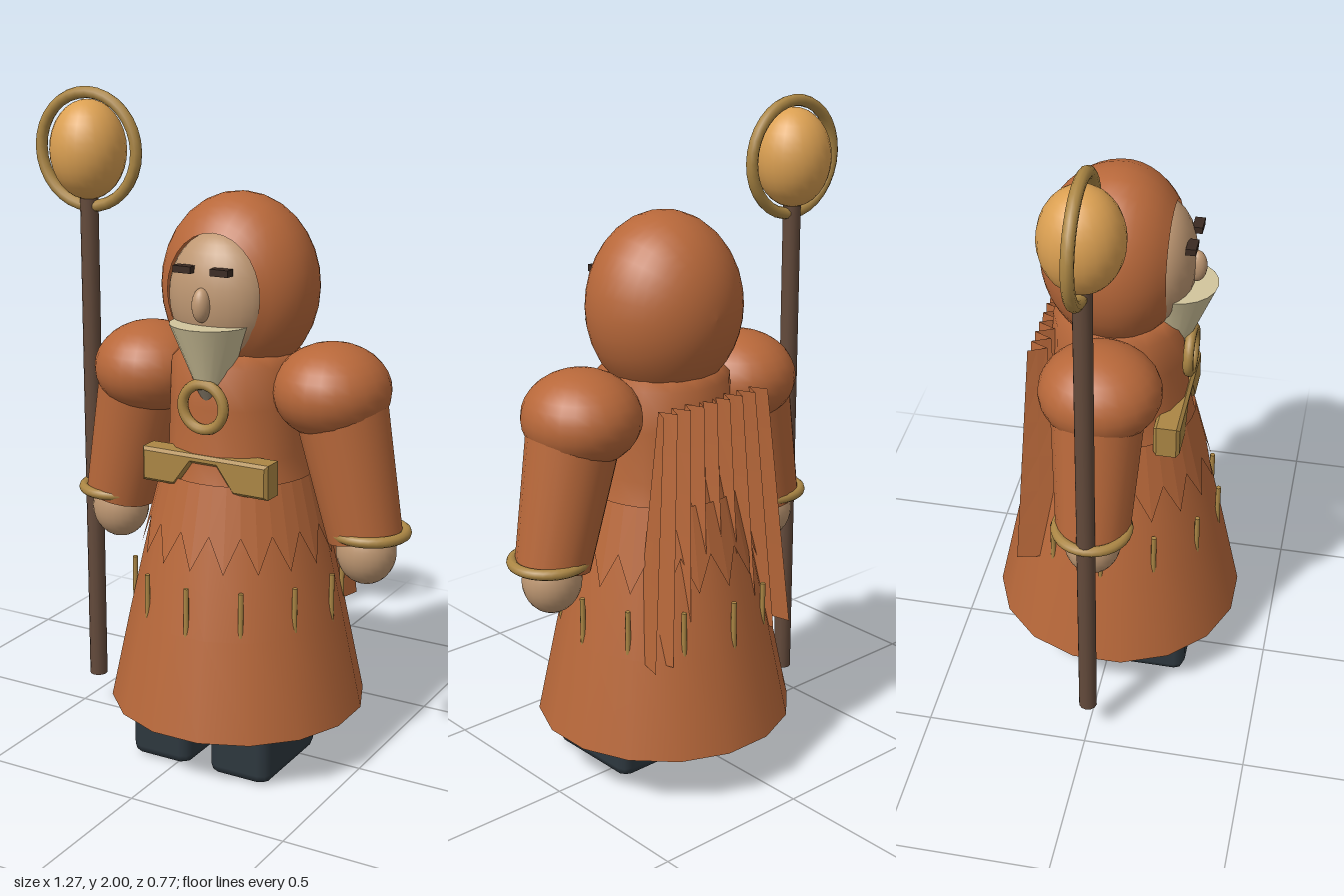
import * as THREE from 'three';
import { RoundedBoxGeometry } from 'three/addons/geometries/RoundedBoxGeometry.js';

function mat(name, color, extra = {}) {
  const m = new THREE.MeshStandardMaterial({ color, ...extra });
  m.name = name;
  return m;
}

export function createModel() {
  const cloth = mat('rust cloth', 0xb8683a, { side: THREE.DoubleSide });
  const foldCloth = mat('folded rust cloth', 0xb8683a, { side: THREE.DoubleSide, flatShading: true });
  const skin = mat('skin', 0xbf9873);
  const cream = mat('beard cream', 0xd2c59c);
  const grey = mat('beard tip grey', 0x857a68);
  const gold = mat('gold', 0xab8644);
  const amber = mat('amber', 0xdba052);
  const wood = mat('dark wood', 0x634a3b);
  const boot = mat('boot slate', 0x2d373e);
  const dark = mat('eye brown', 0x3a2a22);

  const root = new THREE.Group();
  root.name = 'robedFigure';
  const body = new THREE.Group();
  body.name = 'body';
  body.position.x = 0.08;
  root.add(body);

  function add(name, geo, material, x = 0, y = 0, z = 0, parent = body) {
    const m = new THREE.Mesh(geo, material);
    m.name = name;
    m.position.set(x, y, z);
    parent.add(m);
    return m;
  }
  const ball = (rx, ry, rz) => new THREE.SphereGeometry(1, 24, 16).scale(rx, ry, rz);
  const ring = (r, t) => new THREE.TorusGeometry(r, t, 10, 32);
  const v2 = (x, y) => new THREE.Vector2(x, y);

  // Robe: sixteen-sided flare rising to the shoulders
  const robe = [[0.392, 0.165], [0.33, 0.46], [0.272, 0.72], [0.23, 0.88], [0.21, 0.97],
    [0.205, 1.12], [0.2, 1.24], [0.16, 1.28], [0, 1.29]].map(p => v2(...p));
  add('robe', new THREE.LatheGeometry(robe, 16, Math.PI / 16), cloth);
  add('robeUnderside', new THREE.CircleGeometry(0.39, 16, Math.PI / 16).rotateX(Math.PI / 2), cloth, 0, 0.17, 0);

  // Tunic hem: band whose lower edge alternates up and down
  const hem = new THREE.CylinderGeometry(0.232, 0.295, 0.25, 36, 1, true);
  const hp = hem.attributes.position;
  for (let i = 37; i < 74; i++) {
    if (i % 2 === 0) hp.setXYZ(i, hp.getX(i) * 0.91, hp.getY(i) + 0.105, hp.getZ(i) * 0.91);
  }
  hem.computeVertexNormals();
  add('jaggedHem', hem, foldCloth, 0, 0.78, 0);

  // Twelve gold pins around the skirt
  for (let i = 0; i < 12; i++) {
    const a = i * Math.PI / 6;
    add('skirtPin', new THREE.CylinderGeometry(0.008, 0.008, 0.165, 8), gold,
      0.316 * Math.sin(a), 0.527, 0.316 * Math.cos(a));
  }

  // Pleated cape: folds widen and deepen towards the bottom
  const cols = 32;
  const cape = new THREE.PlaneGeometry(2, 1, cols, 6);
  const cp = cape.attributes.position;
  for (let i = 0; i < cp.count; i++) {
    const u = cp.getX(i), t = 0.5 - cp.getY(i);
    const fold = Math.cos(u * Math.PI * 8);
    cp.setXYZ(i, u * (0.2 + 0.07 * t), 1.205 - 0.755 * t,
      -0.21 - fold * (0.027 + 0.04 * t));
  }
  cape.computeVertexNormals();
  add('cape', cape, foldCloth);

  // Arms, shoulders, cuffs, hands and boots, mirrored
  for (const s of [-1, 1]) {
    add('shoulder', ball(0.172, 0.14, 0.18), cloth, s * 0.305, 1.172, 0);
    const top = new THREE.Vector3(s * 0.32, 1.19, 0), end = new THREE.Vector3(s * 0.42, 0.75, 0);
    const mid = top.clone().add(end).multiplyScalar(0.5);
    const arm = add('sleeve', new THREE.CylinderGeometry(0.142, 0.111, top.distanceTo(end), 20), cloth,
      mid.x, mid.y, mid.z);
    arm.quaternion.setFromUnitVectors(new THREE.Vector3(0, 1, 0), top.clone().sub(end).normalize());
    add('cuff', ring(0.106, 0.016).rotateX(Math.PI / 2), gold, s * 0.435, 0.767, 0);
    add('hand', ball(0.09, 0.1, 0.085), skin, s * 0.425, 0.705, 0);
    add('boot', new RoundedBoxGeometry(0.2, 0.2, 0.34, 1, 0.032), boot, s * 0.135, 0.1, 0.085);
    add('eye', new THREE.BoxGeometry(0.058, 0.02, 0.03), dark, s * 0.06, 1.528, 0.217);
  }

  // Hood: ovoid shell open at the front
  const hoodPts = [];
  for (let i = 0; i <= 18; i++) {
    const a = Math.PI + (0.69 - Math.PI) * i / 18;
    hoodPts.push(v2(Math.sin(a), Math.cos(a) * (Math.cos(a) > 0 ? 0.205 : 0.235)));
  }
  add('hood', new THREE.LatheGeometry(hoodPts, 28).rotateX(Math.PI / 2).scale(0.237, 0.275, 1), cloth, 0, 1.45, 0);

  // Face and beard
  add('face', ball(0.157, 0.187, 0.105), skin, 0, 1.44, 0.12);
  add('nose', ball(0.027, 0.05, 0.03), skin, 0, 1.43, 0.224);
  add('beard', new THREE.CylinderGeometry(0.12, 0.045, 0.18, 20), cream, 0, 1.28, 0.17);
  add('beardTip', new THREE.CylinderGeometry(0.045, 0.012, 0.07, 20), grey, 0, 1.155, 0.175);

  // Neck ring and notched belt plate
  add('neckRing', ring(0.067, 0.016), gold, 0, 1.132, 0.216);
  const belt = new THREE.Shape([[-0.2, 0.89], [-0.1, 0.89], [-0.045, 0.965], [0.045, 0.965],
    [0.1, 0.89], [0.2, 0.89], [0.2, 0.975], [-0.2, 0.975]].map(p => v2(...p)));
  add('beltPlate', new THREE.ExtrudeGeometry(belt, {
    depth: 0.06, bevelEnabled: true, bevelThickness: 0.01, bevelSize: 0.009, bevelSegments: 1,
  }), gold, 0, 0, 0.148);

  // Staff held in the right hand, with orb and halo ring
  const staff = new THREE.Group();
  staff.name = 'staff';
  staff.position.x = -0.442;
  root.add(staff);
  add('staffPole', new THREE.CylinderGeometry(0.028, 0.028, 1.56, 12), wood, 0, 0.89, 0, staff);
  add('staffOrb', ball(0.117, 0.15, 0.117), amber, 0, 1.812, 0, staff);
  add('staffRing', ring(0.17, 0.018), gold, 0, 1.812, 0, staff);

  return root;
}
